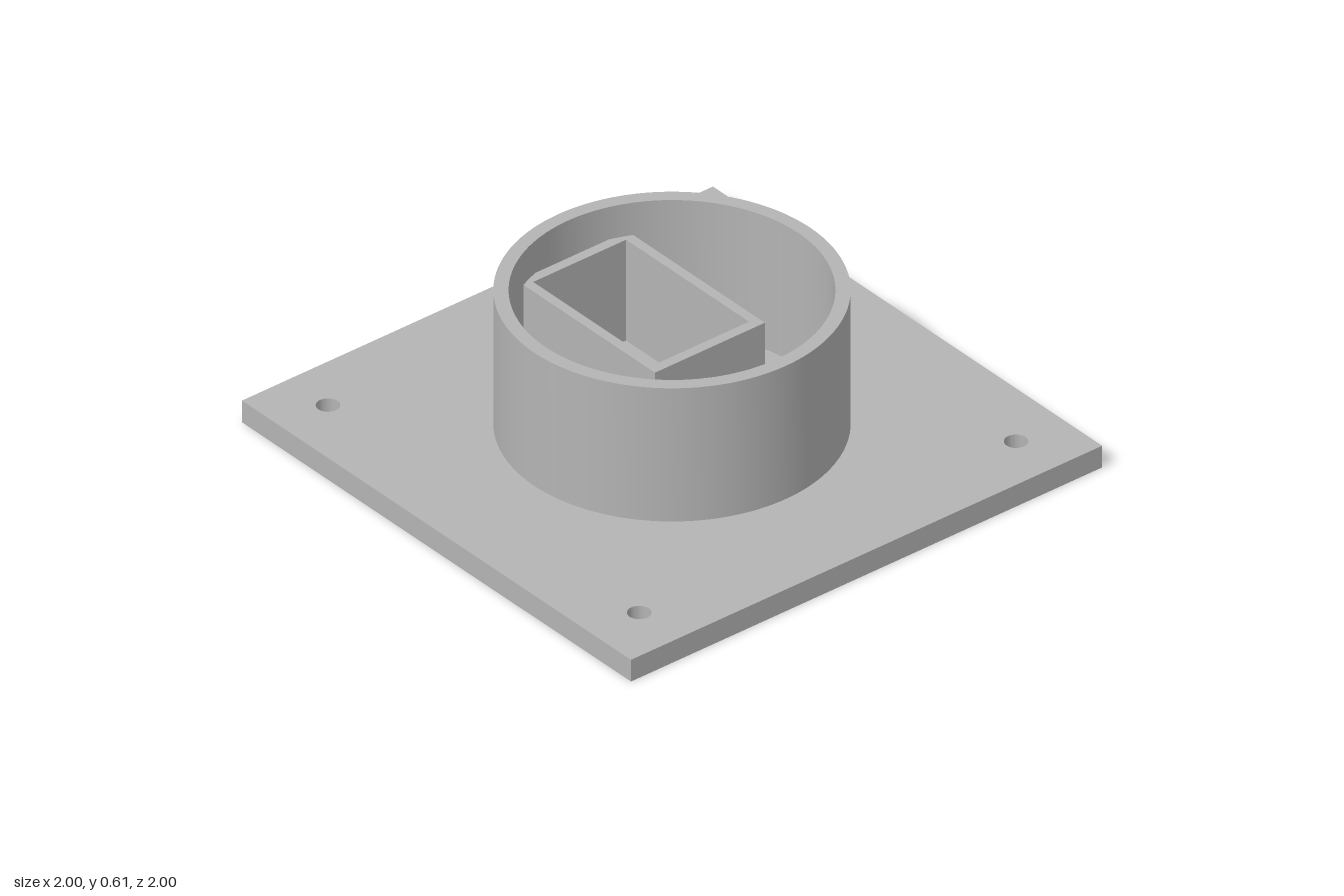
import * as THREE from 'three';
import { toCreasedNormals } from 'three/addons/utils/BufferGeometryUtils.js';

const PLATE_TOP = 0.085;

// Rectangle outline in plan, given by its x range and half depth
function rectangle(PathType, x0, x1, halfDepth) {
  const path = new PathType();
  path.moveTo(x0, -halfDepth);
  path.lineTo(x1, -halfDepth);
  path.lineTo(x1, halfDepth);
  path.lineTo(x0, halfDepth);
  path.closePath();
  return path;
}

function circle(PathType, x, y, radius) {
  return new PathType().absarc(x, y, radius, 0, Math.PI * 2, false);
}

// Extrude a plan shape upwards from y0 to y1
function upright(name, shape, y0, y1, material, curveSegments = 48) {
  const extruded = new THREE.ExtrudeGeometry(shape, { depth: y1 - y0, bevelEnabled: false, curveSegments });
  extruded.rotateX(-Math.PI / 2);
  const mesh = new THREE.Mesh(toCreasedNormals(extruded, 0.6), material);
  mesh.name = name;
  mesh.position.y = y0;
  return mesh;
}

export function createModel() {
  const model = new THREE.Group();
  model.name = 'mountingFlange';
  const grey = new THREE.MeshStandardMaterial({ color: 0xb4b4b4 });
  grey.name = 'grey';

  // Square base plate with four screw holes
  const plate = rectangle(THREE.Shape, -1, 1, 1);
  for (const x of [-0.8, 0.8]) {
    for (const z of [-0.8, 0.8]) plate.holes.push(circle(THREE.Path, x, z, 0.04));
  }
  model.add(upright('basePlate', plate, 0, PLATE_TOP, grey, 32));

  // Round collar
  const collar = circle(THREE.Shape, 0, 0, 0.585);
  collar.holes.push(circle(THREE.Path, 0, 0, 0.535));
  model.add(upright('collar', collar, PLATE_TOP, 0.607, grey, 96));

  // Rectangular socket running into the collar wall
  const socket = rectangle(THREE.Shape, -0.512, 0.195, 0.233);
  socket.holes.push(rectangle(THREE.Path, -0.475, 0.157, 0.197));
  model.add(upright('socket', socket, PLATE_TOP, 0.48, grey));

  return model;
}
